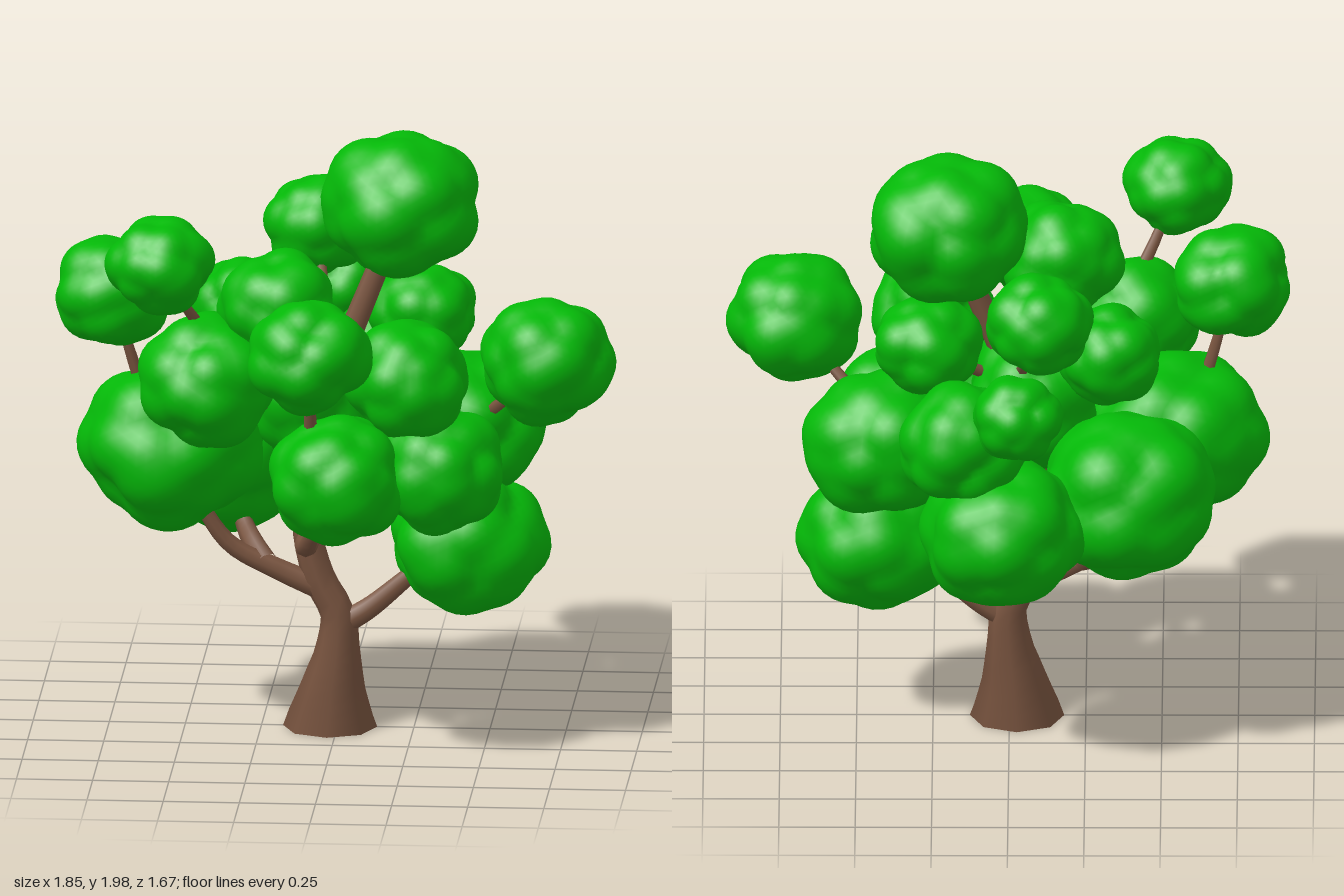
import * as THREE from 'three';
import { mergeVertices } from 'three/addons/utils/BufferGeometryUtils.js';

const leaf = new THREE.MeshStandardMaterial({ color: 0x04b808 });
const bark = new THREE.MeshStandardMaterial({ color: 0x7a5540 });
const V = (x, y, z) => new THREE.Vector3(x, y, z);

function seeded(seed) {
  let s = seed * 7919 + 17;
  return () => (s = (s * 16807) % 2147483647) / 2147483647;
}

// Foliage clump: a sphere swollen into softly blended lumps
function clump(x, y, z, r, ry, seed) {
  const rand = seeded(seed);
  for (let i = 0; i < 5; i++) rand();
  const lumps = [];
  const count = 24;
  for (let i = 0; i < count; i++) {
    const h = 1 - (2 * i + 1) / count, a = i * 2.39996 + rand() * 0.8;
    const q = Math.sqrt(1 - h * h);
    lumps.push({ dir: V(q * Math.cos(a), h, q * Math.sin(a)), size: 0.94 + rand() * 0.1 });
  }
  const turn = new THREE.Euler(rand() * 6, rand() * 6, rand() * 6);
  lumps.forEach(l => l.dir.applyEuler(turn));

  let geo = new THREE.IcosahedronGeometry(1, 9);
  geo.deleteAttribute('uv');
  geo.deleteAttribute('normal');
  geo = mergeVertices(geo, 1e-4);
  const p = geo.attributes.position, v = V(0, 0, 0);
  for (let i = 0; i < p.count; i++) {
    v.fromBufferAttribute(p, i).normalize();
    let sum = 0;
    for (const l of lumps) sum += Math.exp(35 * (l.size - 0.5 * v.distanceToSquared(l.dir)));
    v.multiplyScalar(Math.log(sum) / 35);
    p.setXYZ(i, v.x * r, v.y * ry, v.z * r);
  }
  geo.computeVertexNormals();
  const mesh = new THREE.Mesh(geo, leaf);
  mesh.position.set(x, y, z);
  return mesh;
}

// Tapered limb: a tube whose rings are scaled to the given radii
function limb(name, points, radii, sides = 8, segs = 16) {
  const curve = new THREE.CatmullRomCurve3(points);
  const geo = new THREE.TubeGeometry(curve, segs, 1, sides, false);
  const p = geo.attributes.position, v = V(0, 0, 0);
  for (let i = 0; i <= segs; i++) {
    const t = curve.getUtoTmapping(i / segs) * (radii.length - 1);
    const k = Math.min(Math.floor(t), radii.length - 2);
    const rad = THREE.MathUtils.lerp(radii[k], radii[k + 1], t - k);
    const c = curve.getPointAt(i / segs);
    for (let j = 0; j <= sides; j++) {
      const n = i * (sides + 1) + j;
      v.fromBufferAttribute(p, n).sub(c).multiplyScalar(rad).add(c);
      p.setXYZ(n, v.x, i === 0 && name === 'trunk' ? 0 : v.y, v.z);
    }
  }
  const mesh = new THREE.Mesh(geo, bark);
  mesh.name = name;
  return mesh;
}

export function createModel() {
  const tree = new THREE.Group();
  tree.name = 'tree';

  // Flared trunk with its closed foot
  tree.add(limb('trunk',
    [V(-0.025, 0, 0), V(-0.015, 0.13, 0), V(0, 0.26, 0), V(0, 0.38, 0), V(-0.06, 0.5, 0),
      V(-0.1, 0.66, 0), V(-0.1, 0.82, 0), V(-0.06, 1.08, 0), V(0.03, 1.3, -0.01), V(0.17, 1.65, -0.04)],
    [0.155, 0.108, 0.073, 0.057, 0.053, 0.048, 0.044, 0.042, 0.04, 0.034], 8, 36));
  const foot = new THREE.Mesh(new THREE.CircleGeometry(0.155, 8), bark);
  foot.name = 'trunkFoot';
  foot.rotation.x = Math.PI / 2;
  foot.position.x = -0.025;
  tree.add(foot);

  // Foliage: x, y, z, radius, vertical radius
  const clumps = [
    [0.2, 1.75, -0.09, 0.27, 0.25],
    [-0.55, 1.68, 0.48, 0.18, 0.165],
    [-0.73, 1.49, 0.1, 0.205, 0.19],
    [-0.05, 1.42, 0.63, 0.205, 0.195],
    [-0.4, 1.255, 0.35, 0.235, 0.225],
    [0.705, 1.31, 0.23, 0.23, 0.22],
    [0.43, 0.64, 0, 0.268, 0.25],
    [0.04, 0.98, 0.53, 0.23, 0.22],
    [0.36, 0.96, 0.32, 0.22, 0.22],
    [0.26, 1.28, 0.38, 0.21, 0.2],
    [-0.17, 1.49, 0.3, 0.205, 0.2],
    [-0.1, 1.57, -0.49, 0.18, 0.175],
    [-0.03, 1.32, -0.69, 0.15, 0.148],
    [0.27, 1.37, -0.16, 0.185, 0.17],
    [0.41, 1.01, -0.105, 0.272, 0.252],
    [0.15, 1.13, -0.45, 0.215, 0.212],
    [0.02, 0.83, -0.455, 0.275, 0.262],
    [-0.54, 0.97, 0.06, 0.31, 0.285],
    [-0.39, 0.88, -0.25, 0.3, 0.285],
    [-0.33, 1.36, -0.22, 0.175, 0.17],
    [-0.08, 1.13, 0, 0.23, 0.25],
  ];
  const foliage = new THREE.Group();
  foliage.name = 'foliage';
  clumps.forEach((c, i) => {
    const m = clump(...c, i + 3);
    m.name = 'leafClump' + (i + 1);
    foliage.add(m);
  });
  tree.add(foliage);

  // Main boughs leaving the trunk
  const boughs = [
    [V(0, 0.34, 0), V(0.1, 0.4, 0), V(0.23, 0.51, 0), V(0.36, 0.62, 0)],
    [V(-0.06, 0.47, 0), V(-0.2, 0.53, 0), V(-0.36, 0.62, 0.01), V(-0.5, 0.85, 0.03)],
    [V(-0.24, 0.55, 0), V(-0.28, 0.6, -0.05), V(-0.32, 0.66, -0.13), V(-0.36, 0.8, -0.22)],
    [V(-0.09, 0.56, 0), V(-0.08, 0.6, -0.12), V(-0.05, 0.66, -0.26), V(0, 0.77, -0.42)],
    [V(-0.1, 0.62, 0), V(-0.09, 0.66, 0.2), V(-0.07, 0.71, 0.35), V(0, 0.9, 0.48)],
  ];
  boughs.forEach((b, i) => tree.add(limb('bough' + (i + 1), b, [0.042, 0.036, 0.029, 0.02])));

  // Thin branches: from point to point with a slight sag
  const branches = [
    [[0.42, 1.03, 0.02], [0.7, 1.31, 0.23]],
    [[-0.09, 0.88, 0], [0.41, 1.01, -0.11]],
    [[-0.09, 0.85, 0], [0.36, 0.96, 0.32]],
    [[-0.08, 1.05, 0], [-0.4, 1.26, 0.36]],
    [[-0.38, 1.36, 0.27], [-0.55, 1.68, 0.48]],
    [[-0.62, 1.1, 0.06], [-0.73, 1.49, 0.1]],
    [[-0.05, 1.06, 0.5], [-0.05, 1.43, 0.63]],
    [[-0.06, 1.1, 0], [-0.17, 1.48, 0.3]],
    [[0, 1.13, 0.05], [0.26, 1.28, 0.38]],
    [[-0.02, 1.18, -0.02], [-0.1, 1.57, -0.49]],
    [[0.06, 1.12, -0.5], [-0.03, 1.32, -0.69]],
    [[-0.07, 1.02, 0], [0.15, 1.13, -0.45]],
    [[-0.02, 1.18, 0], [0.27, 1.37, -0.16]],
    [[-0.06, 1.1, 0], [-0.33, 1.35, -0.22]],
  ];
  branches.forEach(([a, b], i) => {
    const s = V(...a), e = V(...b), mid = s.clone().lerp(e, 0.5);
    mid.y -= 0.02;
    tree.add(limb('branch' + (i + 1), [s, mid, e], [0.025, 0.019, 0.013], 6, 8));
  });
  return tree;
}
